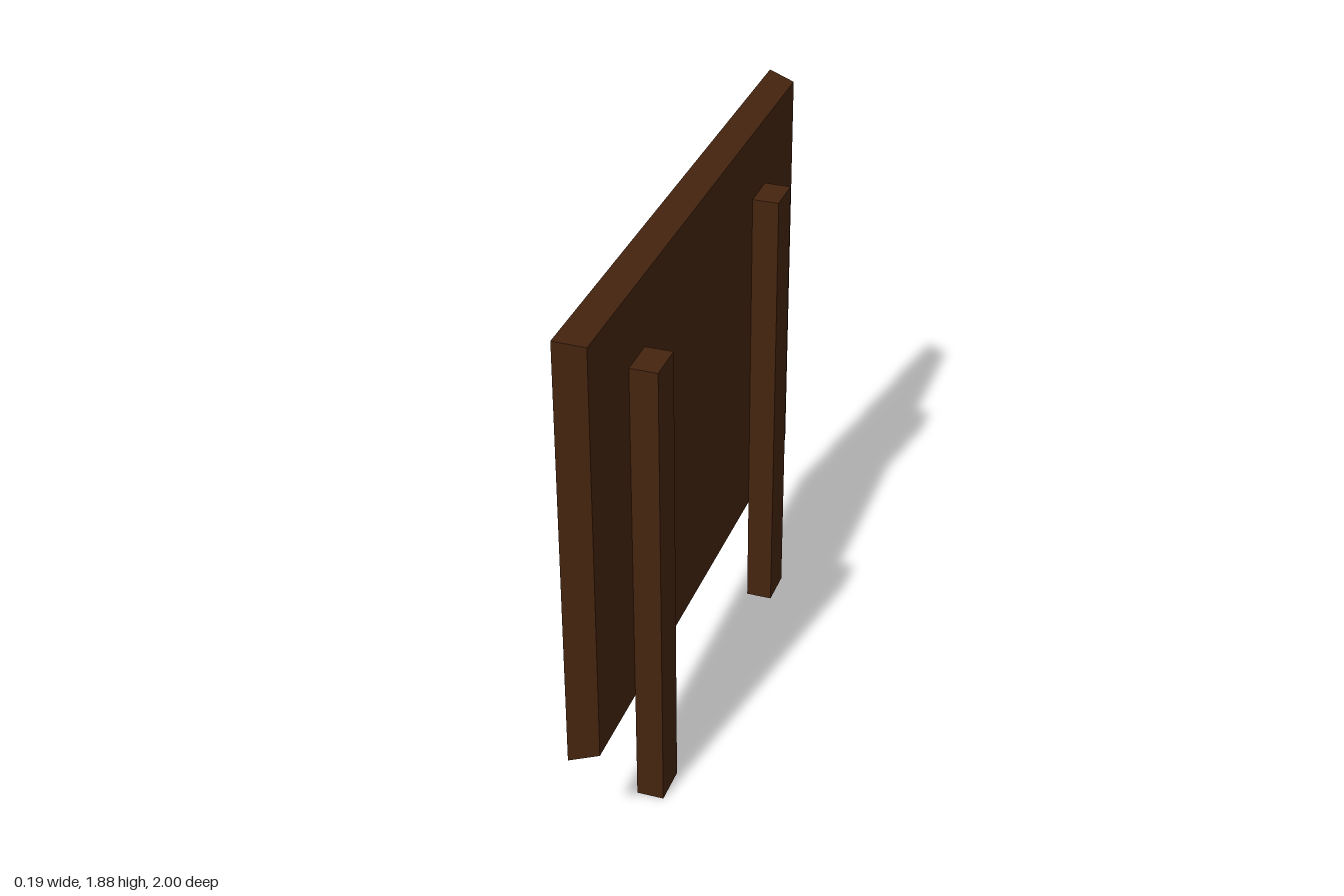
import * as THREE from 'three';

const CENTER_Y = 1.1375;

// Lofts a flat-shaded skin through centred rectangles given as [x, halfZ, halfY]
function loftRects(rects) {
  const signs = [[-1, -1], [1, -1], [1, 1], [-1, 1]];
  const corner = ([x, hz, hy], i) => [x, signs[i][1] * hy, signs[i][0] * hz];
  const pos = [];
  for (let r = 0; r < rects.length - 1; r++) {
    const a = rects[r], b = rects[r + 1];
    for (let i = 0; i < 4; i++) {
      const j = (i + 1) % 4;
      if (a[1] > 0) pos.push(...corner(a, i), ...corner(a, j), ...corner(b, j));
      pos.push(...corner(a, i), ...corner(b, j), ...corner(b, i));
    }
  }
  const geo = new THREE.BufferGeometry();
  geo.setAttribute('position', new THREE.Float32BufferAttribute(pos, 3));
  geo.computeVertexNormals();
  return geo;
}

export function createModel() {
  const group = new THREE.Group();
  group.name = 'noticeBoard';

  const material = (name, color) => {
    const m = new THREE.MeshStandardMaterial({ color });
    m.name = name;
    return m;
  };
  const wood = material('darkWood', 0x45240f);
  const cork = material('cork', 0x7c654d);
  const paper = material('paper', 0xbaab96);

  const add = (name, geo, mat, x, y, z) => {
    const mesh = new THREE.Mesh(geo, mat);
    mesh.name = name;
    mesh.position.set(x, y, z);
    group.add(mesh);
    return mesh;
  };

  // Frame: closed back, flared outer sides, front rim, then the recess walls
  add('frame', loftRects([
    [0, 0, 0],
    [0, 0.97, 0.727],
    [-0.095, 1, 0.7475],
    [-0.095, 0.857, 0.63],
    [-0.037, 0.857, 0.63],
  ]), wood, 0, CENTER_Y, 0);

  // Pin surface at the bottom of the recess
  const panel = add('pinSurface', new THREE.PlaneGeometry(1.714, 1.26), cork, -0.037, CENTER_Y, 0);
  panel.rotation.y = -Math.PI / 2;

  // Two posts behind the board
  for (const [name, side] of [['leftPost', 1], ['rightPost', -1]]) {
    add(name, new THREE.BoxGeometry(0.091, 1.625, 0.135), wood, 0.0455, 0.8125, side * 0.5875);
  }

  // Straight notices: [name, zMin, zMax, yMin, yMax]
  const notices = [
    ['upperSmallNotice', 0.255, 0.611, 1.385, 1.685],
    ['wideNotice', -0.785, 0.03, 1.043, 1.575],
    ['tallNotice', 0.06, 0.743, 0.7, 1.306],
    ['lowerSmallNotice', -0.54, -0.234, 0.563, 0.95],
  ];
  for (const [name, z0, z1, y0, y1] of notices) {
    add(name, new THREE.BoxGeometry(0.016, y1 - y0, z1 - z0), paper, -0.045, (y0 + y1) / 2, (z0 + z1) / 2);
  }

  // Large tilted notice on top of the others
  const tilted = add('tiltedNotice', new THREE.BoxGeometry(0.022, 0.843, 0.68), paper, -0.064, 1.172, -0.005);
  tilted.rotation.x = 0.445;

  return group;
}
